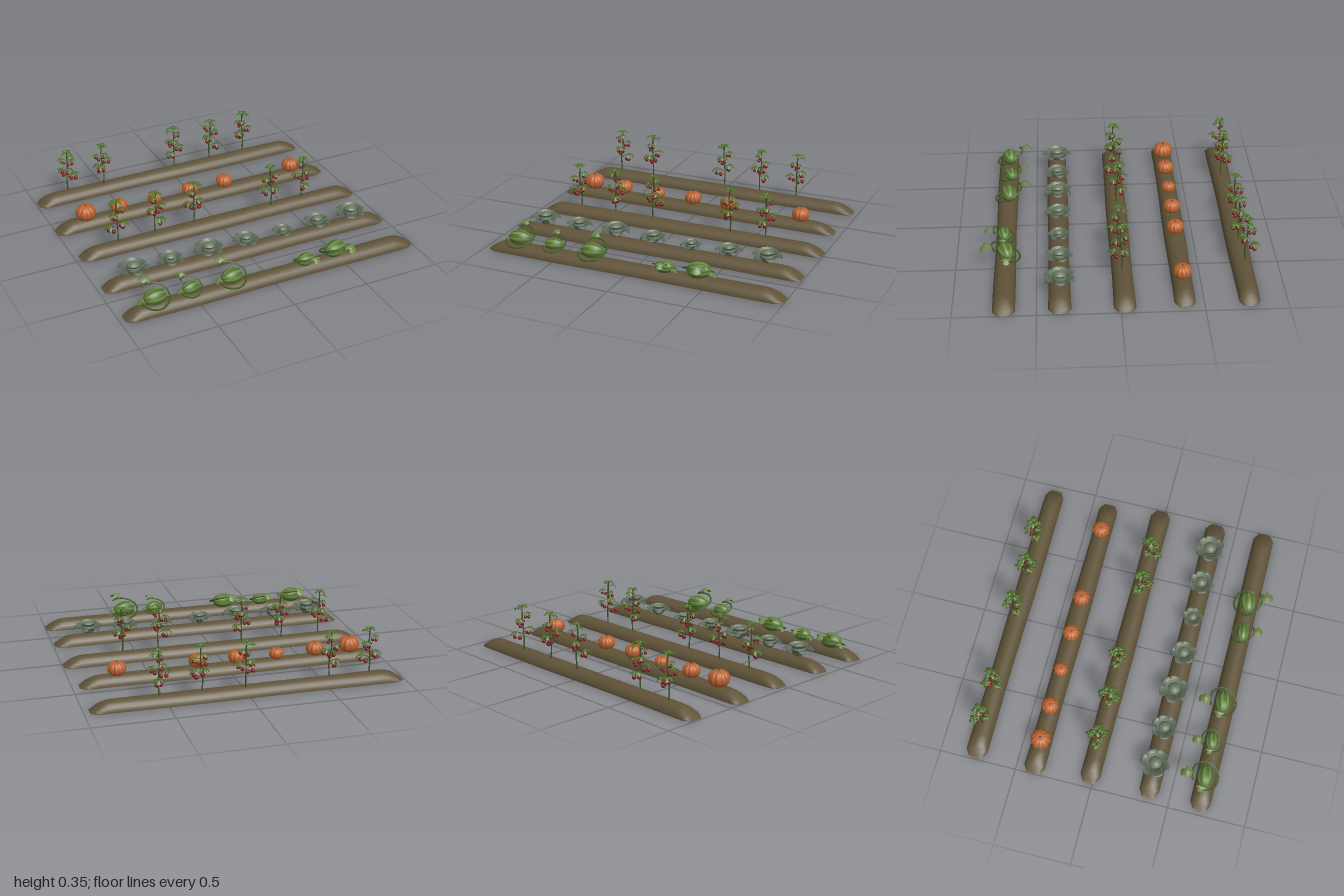
import * as THREE from 'three';
import { ParametricGeometry } from 'three/addons/geometries/ParametricGeometry.js';

const paint = (color, extra = {}) => new THREE.MeshStandardMaterial({ color, ...extra });
const thin = { side: THREE.DoubleSide };
const MAT = {
  soil: paint(0x5f5238, thin),
  pumpkin: paint(0xb8622f),
  dryStem: paint(0x5a5a2c),
  stem: paint(0x3c5522),
  leaf: paint(0x4c6e28, thin),
  tomato: paint(0x7a1d1a),
  cabbageOuter: paint(0x5b6858, thin),
  cabbageInner: paint(0x6b7863, thin),
  melon: paint(0x4f7030),
  stripe: paint(0x6f8c42),
  vine: paint(0x3f6022),
  melonLeaf: paint(0x6c8448, thin),
};
const V = (x, y, z) => new THREE.Vector3(x, y, z);

function add(parent, name, geometry, material, x = 0, y = 0, z = 0) {
  const mesh = new THREE.Mesh(geometry, material);
  mesh.name = name;
  mesh.position.set(x, y, z);
  parent.add(mesh);
  return mesh;
}

function group(name, x = 0, y = 0, z = 0, turn = 0, scale = 1) {
  const g = new THREE.Group();
  g.name = name;
  g.position.set(x, y, z);
  g.rotation.y = turn;
  g.scale.setScalar(scale);
  return g;
}

const tube = (points, radius, steps = 12) =>
  new THREE.TubeGeometry(new THREE.CatmullRomCurve3(points), steps, radius, 5);

// Long half-round bed that flattens and narrows at both ends
function moundGeometry(x0, x1, phase) {
  return new ParametricGeometry((u, v, p) => {
    const t = (1 - Math.cos(u * Math.PI)) / 2;
    const x = x0 + (x1 - x0) * t;
    const d = Math.min(x - x0, x1 - x);
    const high = 0.061 * Math.sin(Math.min(1, d / 0.13) * Math.PI / 2);
    const half = (0.036 + 0.03 * Math.min(1, d / 0.045)) * (1 + 0.04 * Math.sin(x * 5 + phase));
    const a = v * Math.PI;
    p.set(x, high * Math.sin(a), half * Math.cos(a));
  }, 40, 12);
}

// Lobed leaf lying along +x, arched and folded along its rib
function lobedLeaf(length, width, droop) {
  return new ParametricGeometry((u, v, p) => {
    const s = v * 2 - 1;
    const lobes = 0.72 + 0.28 * Math.cos(u * Math.PI * 5 - 1.5);
    const w = width * Math.sin(Math.PI * Math.min(1, 0.04 + u * 0.95)) ** 0.6 * lobes;
    p.set(u * length, length * (0.3 * Math.sin(u * Math.PI) - droop * u * u) - Math.abs(s) * w * 0.3, s * w);
  }, 14, 4);
}

// Cupped leaf that leaves the centre, rises and curls over at its tip
function cuppedLeaf(reach, rise, width, curl) {
  return new ParametricGeometry((u, v, p) => {
    const s = v * 2 - 1;
    const w = width * Math.sin(Math.PI * (0.08 + 0.87 * u ** 1.3)) * (1 + 0.1 * Math.cos(u * 22));
    p.set(
      reach * Math.sin(u * Math.PI / 2) - s * s * w * 0.2,
      rise * Math.sin(u * curl) + s * s * w * 0.35 * (1 - u),
      s * w);
  }, 12, 6);
}

// Unit pumpkin: a sphere with ten ribs and dimpled poles
function pumpkinGeometry() {
  const geo = new THREE.SphereGeometry(1, 60, 16);
  const pos = geo.attributes.position;
  for (let i = 0; i < pos.count; i++) {
    const p = V(0, 0, 0).fromBufferAttribute(pos, i);
    const ring = Math.hypot(p.x, p.z);
    const rib = 0.87 + 0.13 * Math.abs(Math.sin(5 * Math.atan2(p.z, p.x))) ** 0.6;
    const y = 0.86 * p.y * (1 - 0.18 * (1 - ring) ** 2);
    pos.setXYZ(i, p.x * rib, y * (0.95 + 0.05 * rib), p.z * rib);
  }
  geo.computeVertexNormals();
  return geo;
}

function pumpkin(geo, x, z, r, turn) {
  const g = group('pumpkin', x, 0.05 + r * 0.78, z, turn, r);
  add(g, 'pumpkinBody', geo, MAT.pumpkin);
  add(g, 'pumpkinStem', new THREE.CylinderGeometry(0.06, 0.11, 0.2, 6), MAT.dryStem, 0, 0.77, 0);
  return g;
}

function tomatoPlant(geo, x, z, turn) {
  const g = group('tomatoPlant', x, 0.05, z, turn);
  add(g, 'mainStem', geo.stem, MAT.stem);
  // Side branches, each with leaves at its tip and fruit hanging below
  for (let i = 0; i < 6; i++) {
    const branch = group('branch', 0.004, 0.11 + i * 0.031, 0, i * 2.3);
    branch.scale.setScalar(1 - i * 0.06);
    add(branch, 'branchStalk', geo.branch, MAT.stem);
    for (const a of [-0.9, 0, 0.9]) {
      const leaf = add(branch, 'leaf', geo.leaf, MAT.leaf, a ? 0.034 : 0.044, 0.017, 0);
      leaf.rotation.y = a;
    }
    if (i < 5) {
      add(branch, 'tomato', geo.tomato, MAT.tomato, 0.05, -0.012, 0.012);
      add(branch, 'tomato', geo.tomato, MAT.tomato, 0.026, -0.017, -0.01);
    }
    g.add(branch);
  }
  // Crown leaves
  for (let i = 0; i < 4; i++) {
    const leaf = add(g, 'crownLeaf', geo.leaf, MAT.leaf, 0.004, 0.287, 0);
    leaf.rotation.set(0, i * 1.6 + 0.4, 0.45);
  }
  return g;
}

function cabbage(geo, x, z, size, turn) {
  const g = group('cabbage', x, 0.055, z, turn, size);
  add(g, 'head', geo.head, MAT.cabbageInner, 0, 0.05, 0).scale.y = 0.95;
  for (let i = 0; i < 6; i++) {
    const a = i * Math.PI / 3;
    add(g, 'outerLeaf', geo.outer, MAT.cabbageOuter).rotation.y = a;
    add(g, 'innerLeaf', geo.inner, MAT.cabbageInner, 0, 0.008, 0).rotation.y = a + 0.5;
  }
  return g;
}

function melonPlant(geo, x, z, size, turn) {
  const g = group('melonPlant', x, 0.05, z, turn, size);
  const fruit = group('melon', 0, 0.042, 0, 0.12);
  add(fruit, 'melonBody', geo.body, MAT.melon).scale.set(0.072, 0.05, 0.05);
  // Lengthwise pale stripes
  for (let i = 0; i < 8; i++) {
    const stripe = add(fruit, 'stripe', geo.stripe, MAT.stripe);
    stripe.scale.set(0.0735, 0.051, 0.051);
    stripe.rotation.x = i * Math.PI / 4;
  }
  g.add(fruit);
  // Vine circles the fruit, climbs behind it and ends in a raised leaf
  add(g, 'vine', geo.vine, MAT.vine);
  const far = add(g, 'farLeaf', geo.bigLeaf, MAT.melonLeaf, -0.015, 0.1, -0.08);
  far.rotation.y = Math.PI / 2 + 0.1;
  const side = add(g, 'sideLeaf', geo.bigLeaf, MAT.melonLeaf, -0.045, 0.025, -0.01);
  side.rotation.y = Math.PI;
  side.scale.setScalar(0.75);
  return g;
}

export function createModel() {
  const model = new THREE.Group();
  model.name = 'vegetableGarden';

  // Soil beds: left end, right end, z
  [[-0.99, 0.965, -0.772], [-1, 0.955, -0.385], [-0.97, 0.995, -0.025],
    [-0.97, 0.99, 0.362], [-0.97, 1, 0.695]].forEach(([x0, x1, z], i) =>
    add(model, 'soilBed', moundGeometry(x0, x1, i), MAT.soil, 0, 0, z));

  // Pumpkins
  const pumpkinGeo = pumpkinGeometry();
  [[-0.79, 0.067], [-0.56, 0.057], [-0.305, 0.047], [-0.045, 0.056], [0.21, 0.056], [0.72, 0.058]]
    .forEach(([x, r], i) => model.add(pumpkin(pumpkinGeo, x, -0.385, r, i * 0.7)));

  // Tomato plants
  const tomatoGeo = {
    stem: tube([V(0, -0.02, 0), V(-0.005, 0.1, 0.004), V(0.006, 0.2, -0.003), V(0.004, 0.295, 0)], 0.0045),
    branch: tube([V(0, 0, 0), V(0.02, 0.014, 0), V(0.046, 0.017, 0), V(0.05, -0.005, 0.01)], 0.002, 8),
    leaf: lobedLeaf(0.042, 0.017, 0.35),
    tomato: new THREE.SphereGeometry(0.0135, 10, 8),
  };
  [[-0.77, -0.78], [-0.52, -0.765], [0.02, -0.79], [0.29, -0.78], [0.55, -0.79],
    [-0.71, -0.03], [-0.45, -0.03], [-0.18, -0.03], [0.37, -0.01], [0.61, -0.02]]
    .forEach(([x, z], i) => model.add(tomatoPlant(tomatoGeo, x, z, i * 1.9)));

  // Cabbages
  const cabbageGeo = {
    head: new THREE.SphereGeometry(0.045, 16, 12),
    outer: cuppedLeaf(0.098, 0.06, 0.034, 2.3),
    inner: cuppedLeaf(0.06, 0.078, 0.032, 1.75),
  };
  [[-0.765, 1], [-0.52, 0.88], [-0.26, 1], [0, 0.87], [0.26, 0.72], [0.51, 0.88], [0.76, 1]]
    .forEach(([x, s], i) => model.add(cabbage(cabbageGeo, x, 0.36, s, i * 0.8 + 0.5)));

  // Melon plants
  const coil = [];
  for (let i = 0; i <= 12; i++) {
    const a = 2.9 - i * 0.43;
    coil.push(V(0.09 * Math.cos(a), 0.035 - 0.035 * Math.sin(a) + i * 0.002, 0.085 * Math.sin(a)));
  }
  coil.push(V(-0.015, 0.1, -0.085));
  const melonGeo = {
    body: new THREE.SphereGeometry(1, 24, 16),
    stripe: new THREE.SphereGeometry(1, 4, 16, 0, 0.32).rotateZ(Math.PI / 2),
    vine: tube(coil, 0.006, 48),
    bigLeaf: lobedLeaf(0.078, 0.044, 0.22),
  };
  [[-0.765, 0.685, 1, 0], [-0.53, 0.675, 0.8, 0.1], [-0.26, 0.685, 1, 0.05],
    [0.235, 0.705, 0.8, Math.PI], [0.45, 0.69, 1.03, Math.PI + 0.15]]
    .forEach(([x, z, s, turn]) => model.add(melonPlant(melonGeo, x, z, s, turn)));

  return model;
}
